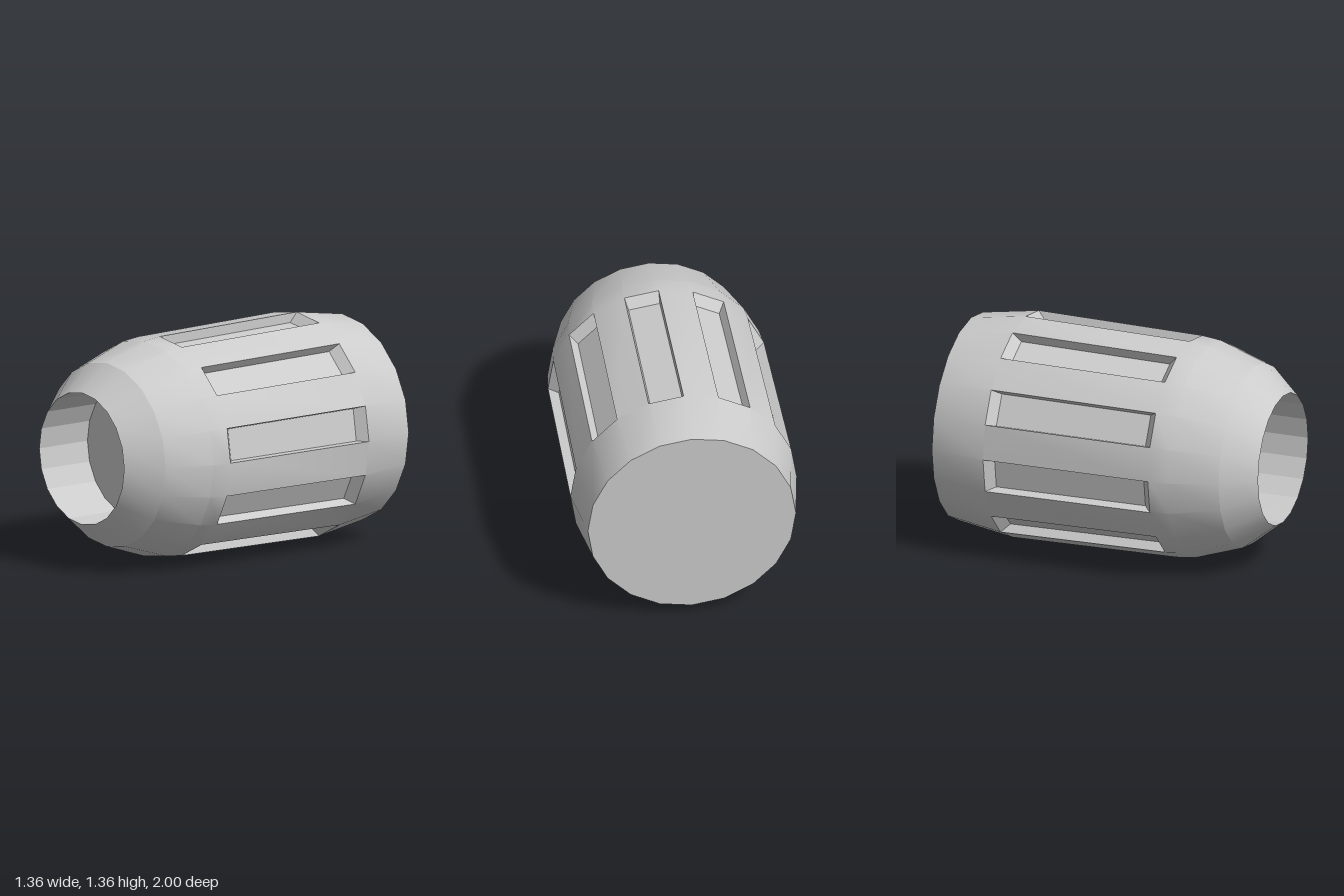
import * as THREE from 'three';
import { toCreasedNormals } from 'three/addons/utils/BufferGeometryUtils.js';

const SIDES = 20;
const SLOT_RING = 3;         // profile span that carries the slots
const SLOT_DEPTH = 0.058;
const BORE_RADIUS = 0.4;
const BORE_FLOOR = 0.63;

// Outer profile from the front to the back: [z, radius]
const PROFILE = [[1, BORE_RADIUS], [0.81, 0.557], [0.52, 0.652], [0.4, 0.665], [-0.65, 0.68], [-1, 0.625]];

// Point on side line i, counted clockwise from the top as seen from the front
const point = (i, [z, r]) => {
  const a = (i / SIDES) * Math.PI * 2;
  return [r * Math.sin(a), r * Math.cos(a), z];
};

// Four corners, counter-clockwise from outside, spanning one side
const panel = (i, front, back) => [point(i, front), point(i + 1, front), point(i + 1, back), point(i, back)];

function quadGeometry(quads) {
  const pos = quads.flatMap(([a, b, c, d]) => [a, b, c, a, c, d]).flat();
  const geo = new THREE.BufferGeometry();
  geo.setAttribute('position', new THREE.Float32BufferAttribute(pos, 3));
  geo.computeVertexNormals();
  return geo;
}

export function createModel() {
  const group = new THREE.Group();
  group.name = 'slottedBarrel';
  const material = new THREE.MeshStandardMaterial({ color: 0xcccccc });
  const add = (name, geometry) => {
    const mesh = new THREE.Mesh(geometry, material);
    mesh.name = name;
    mesh.position.y = 0.68;
    group.add(mesh);
  };

  const shell = [], slots = [], bore = [];
  const [slotFront, slotBack] = [PROFILE[SLOT_RING], PROFILE[SLOT_RING + 1]];
  const floorFront = [slotFront[0] - 0.05, slotFront[1] - SLOT_DEPTH];
  const floorBack = [slotBack[0] + 0.05, slotBack[1] - SLOT_DEPTH];

  for (let i = 0; i < SIDES; i++) {
    for (let j = 0; j < PROFILE.length - 1; j++) {
      const outer = panel(i, PROFILE[j], PROFILE[j + 1]);
      if (j !== SLOT_RING || i % 2) {
        shell.push(outer);
        continue;
      }
      // Recessed slot: floor and four walls
      const inner = panel(i, floorFront, floorBack);
      slots.push(inner);
      for (let k = 0; k < 4; k++) {
        const n = (k + 1) % 4;
        slots.push([outer[k], outer[n], inner[n], inner[k]]);
      }
    }
    // Bore wall faces the axis
    bore.push(panel(i, [1, BORE_RADIUS], [BORE_FLOOR, BORE_RADIUS]).reverse());
  }

  add('shell', toCreasedNormals(quadGeometry(shell), THREE.MathUtils.degToRad(20)));
  add('gripSlots', quadGeometry(slots));
  add('boreWall', quadGeometry(bore));
  add('boreFloor', new THREE.CircleGeometry(BORE_RADIUS, SIDES).translate(0, 0, BORE_FLOOR));
  add('backCap', new THREE.CircleGeometry(0.625, SIDES).rotateY(Math.PI).translate(0, 0, -1));

  return group;
}
